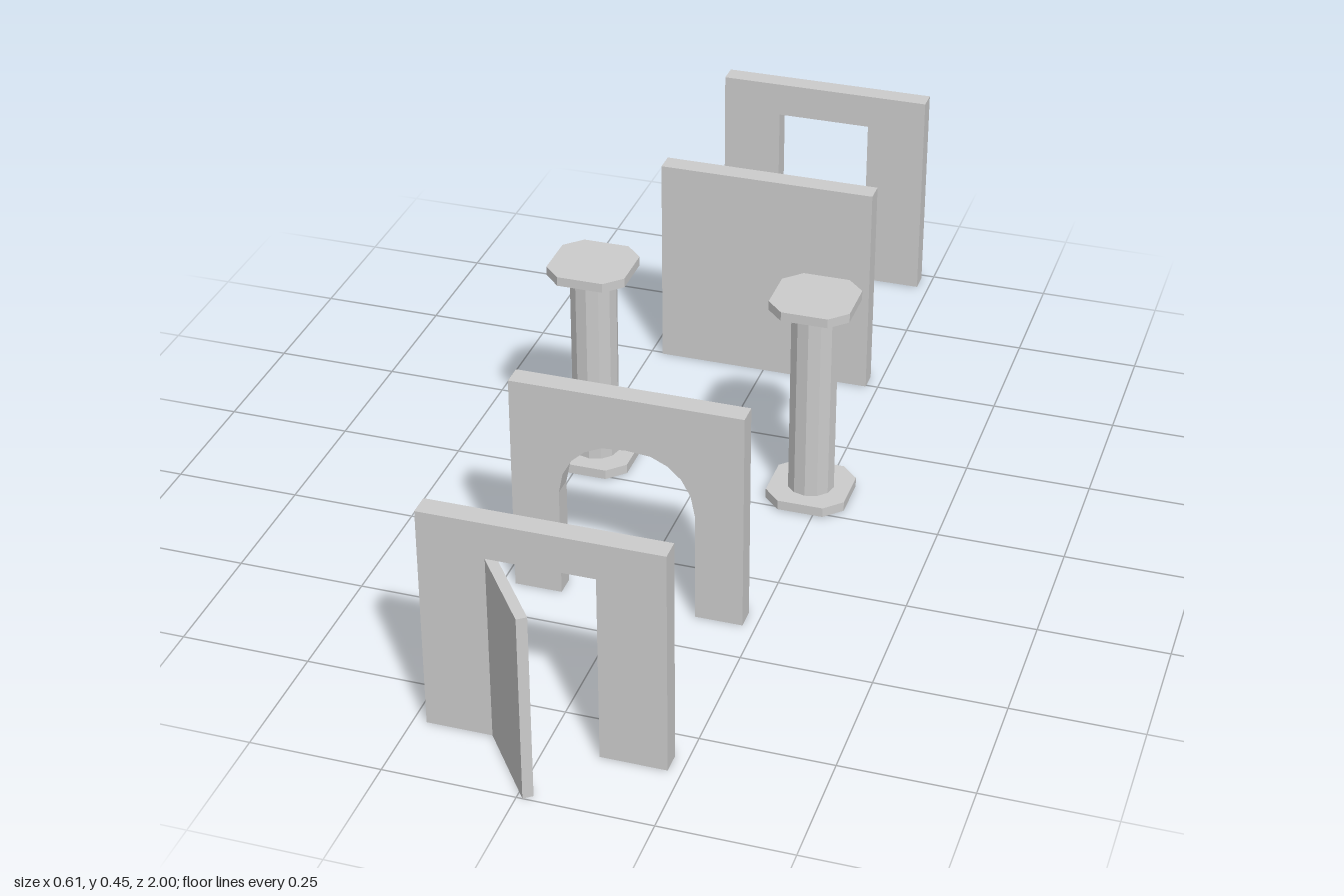
import * as THREE from 'three';

const material = new THREE.MeshStandardMaterial({ color: 0xcccccc, flatShading: true });
const HALF = 0.225, HEIGHT = 0.45, THICK = 0.042, SPACING = 0.449, MID = -0.067;

function add(parent, name, geometry, x = 0, y = 0, z = 0) {
  const mesh = new THREE.Mesh(geometry, material);
  mesh.name = name;
  mesh.position.set(x, y, z);
  parent.add(mesh);
  return mesh;
}

const shapeOf = (points) => new THREE.Shape(points.map(([x, y]) => new THREE.Vector2(x, y)));
const extrude = (shape, depth) => new THREE.ExtrudeGeometry(shape, { depth, bevelEnabled: false });

// Wall panel; "opening" is the right half of a gap cut up from the floor, "hole" a closed cut-out
function wallGeometry({ opening = [], hole } = {}) {
  const mirrored = opening.map(([x, y]) => [-x, y]).reverse();
  // skip the doubled apex point
  const gap = [...mirrored.reverse(), ...opening.slice().reverse().filter(([x]) => x > 0)];
  const shape = shapeOf([[-HALF, 0], ...gap.filter(([x], i) => i === 0 || x !== gap[i - 1][0] || x !== 0),
    [HALF, 0], [HALF, HEIGHT], [-HALF, HEIGHT]]);
  if (hole) shape.holes.push(shapeOf(hole));
  return extrude(shape, THICK).translate(0, 0, -THICK / 2);
}

// Octagonal slab with cut corners, lying flat
function slabGeometry(half, cut, height) {
  const a = half, b = half - cut;
  const shape = shapeOf([[a, -b], [a, b], [b, a], [-b, a], [-a, b], [-a, -b], [-b, -a], [b, -a]]);
  return extrude(shape, height).rotateX(-Math.PI / 2);
}

export function createModel() {
  const model = new THREE.Group();
  model.name = 'wallKit';

  // Wall with doorway and door standing ajar
  const doorZ = MID + 2 * SPACING;
  add(model, 'doorWall', wallGeometry({ opening: [[0.1, 0], [0.1, 0.378]] }), 0, 0, doorZ);
  const doorGeometry = new THREE.BoxGeometry(0.185, 0.377, 0.02).translate(0.0925, 0.1885, -0.01);
  const door = add(model, 'door', doorGeometry, -0.1, 0, 0.852);
  door.rotation.y = -53 * Math.PI / 180;

  // Wall with archway
  add(model, 'archWall', wallGeometry({
    opening: [[0.132, 0], [0.132, 0.225], [0.124, 0.266], [0.106, 0.299], [0.08, 0.323], [0.047, 0.338], [0, 0.342]],
  }), 0, 0, MID + SPACING);

  // Pair of columns
  for (const [side, name] of [[1, 'leftColumn'], [-1, 'rightColumn']]) {
    const column = new THREE.Group();
    column.name = name;
    column.position.set(side * HALF, 0, MID);
    add(column, 'columnBase', slabGeometry(0.08, 0.034, 0.02), 0, 0.003, 0);
    add(column, 'columnShaft', new THREE.CylinderGeometry(0.047, 0.047, 0.41, 12), 0, 0.2275, 0);
    add(column, 'columnCapital', slabGeometry(0.08, 0.034, 0.019), 0, 0.431, 0);
    model.add(column);
  }

  // Plain wall
  add(model, 'plainWall', wallGeometry(), 0, 0, MID - SPACING);

  // Wall with window and sill
  const windowZ = MID - 2 * SPACING;
  add(model, 'windowWall', wallGeometry({
    hole: [[-0.1, 0.188], [-0.1, 0.378], [0.1, 0.378], [0.1, 0.188]],
  }), 0, 0, windowZ);
  add(model, 'windowSill', new THREE.BoxGeometry(0.2, 0.007, 0.07), 0, 0.1915, windowZ);

  return model;
}
